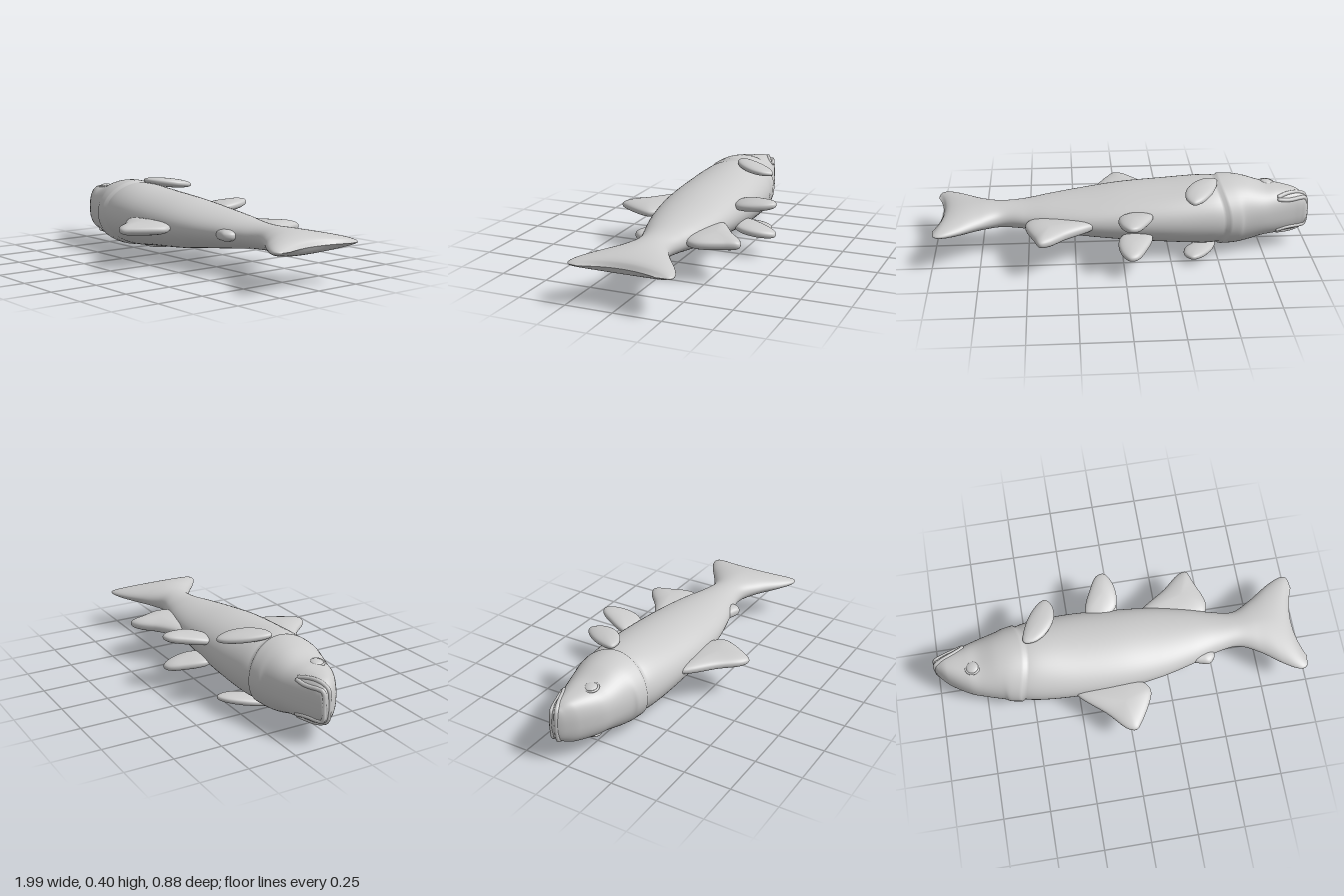
import * as THREE from 'three';
import { mergeVertices } from 'three/addons/utils/BufferGeometryUtils.js';

const MID = 0.205; // height of the fish's plane of symmetry (it lies on its side)
const material = new THREE.MeshStandardMaterial({ color: 0xcccccc });

// Body ribs: x, back edge z, belly edge z, half thickness, bow of the rib along x, roundness
const RIBS = [
  [-1.0, -0.078, -0.08, 0.0, 0, 2.4],
  [-0.99, -0.05, -0.105, 0.066, 0, 2.4],
  [-0.96, -0.012, -0.118, 0.098, 0, 2.4],
  [-0.92, 0.025, -0.13, 0.118, 0, 2.4],
  [-0.82, 0.088, -0.165, 0.134, 0, 2.4],
  [-0.75, 0.115, -0.188, 0.142, 0, 2.3],
  [-0.65, 0.147, -0.215, 0.174, 0, 2.1],
  [-0.56, 0.167, -0.232, 0.186, -0.05, 2],
  [-0.45, 0.185, -0.25, 0.18, -0.04, 2],
  [-0.25, 0.2, -0.26, 0.158, 0, 2],
  [0.0, 0.195, -0.246, 0.136, 0, 2],
  [0.2, 0.168, -0.226, 0.11, 0, 2],
  [0.38, 0.123, -0.19, 0.088, 0, 2],
  [0.52, 0.08, -0.15, 0.07, 0, 2],
  [0.64, 0.067, -0.13, 0.064, 0, 2],
  [0.74, 0.122, -0.185, 0.064, 0.01, 1.8],
  [0.83, 0.205, -0.257, 0.058, 0.03, 1.8],
  [0.895, 0.248, -0.292, 0.045, 0.045, 1.9],
  [0.93, 0.235, -0.28, 0.027, 0.05, 2],
  [0.947, 0.18, -0.22, 0.0, 0.042, 2],
];

// Smooth interpolation between the ribs
function ribAt(x) {
  let i = 0;
  while (i < RIBS.length - 2 && x > RIBS[i + 1][0]) i++;
  const a = RIBS[i], b = RIBS[i + 1], p = RIBS[i - 1] ?? a, q = RIBS[i + 2] ?? b;
  const d = b[0] - a[0], t = (x - a[0]) / d;
  const [back, belly, thick, bow, n] = [1, 2, 3, 4, 5].map((k) => {
    const m0 = ((b[k] - p[k]) / (b[0] - p[0])) * d;
    const m1 = ((q[k] - a[k]) / (q[0] - a[0])) * d;
    return (2 * t ** 3 - 3 * t * t + 1) * a[k] + (t ** 3 - 2 * t * t + t) * m0
      + (3 * t * t - 2 * t ** 3) * b[k] + (t ** 3 - t * t) * m1;
  });
  // the body steps in just behind the gill covers
  const step = x > -0.505 ? 1 - 0.065 * Math.exp(-(x + 0.505) / 0.05) : 1;
  return {
    zc: (back + belly) / 2, h: ((back - belly) / 2) * step,
    thick: Math.max(thick, 0) * step, bow, n,
  };
}

// Half thickness of the body at a point of its side
function sideAt(x, z) {
  const r = ribAt(x), v = Math.min(Math.abs((z - r.zc) / r.h), 1);
  return r.thick * (1 - v ** r.n) ** (1 / r.n);
}

function bodyGeometry(rows = 200, cols = 56) {
  const pos = [], index = [];
  const power = (v, e) => Math.sign(v) * Math.abs(v) ** e;
  for (let i = 0; i <= rows; i++) {
    const x = -1 + 1.947 * (1 - Math.cos((Math.PI * i) / rows)) / 2;
    const r = ribAt(x);
    for (let j = 0; j < cols; j++) {
      const a = (j / cols) * Math.PI * 2, v = power(Math.cos(a), 2 / r.n);
      pos.push(x + r.bow * v * v, MID + r.thick * power(Math.sin(a), 2 / r.n), r.zc + r.h * v);
      if (i === rows) continue;
      const p = i * cols + j, q = i * cols + ((j + 1) % cols);
      index.push(p, p + cols, q, q, p + cols, q + cols);
    }
  }
  const g = new THREE.BufferGeometry();
  g.setAttribute('position', new THREE.Float32BufferAttribute(pos, 3));
  g.setIndex(index);
  g.computeVertexNormals();
  return g;
}

// Rounded pad with an (x, z) outline; centre(z) gives its height from the symmetry plane
function finGeometry(outline, thick, centre = () => 0) {
  const pts = outline.map(([x, z]) => new THREE.Vector2(x, z));
  if (THREE.ShapeUtils.area(pts) < 0) pts.reverse();
  const curve = new THREE.CatmullRomCurve3(pts.map((p) => new THREE.Vector3(p.x, 0, p.y)), true);
  const mid = pts.reduce((s, p) => s.add(p), new THREE.Vector2()).divideScalar(pts.length);
  let g = new THREE.SphereGeometry(1, 56, 24);
  g.deleteAttribute('uv');
  g.deleteAttribute('normal');
  g = mergeVertices(g, 1e-5);
  const P = g.attributes.position;
  for (let i = 0; i < P.count; i++) {
    const x = P.getX(i), y = P.getY(i), z = P.getZ(i), r = Math.hypot(x, z);
    const u = (Math.atan2(z, x) / (2 * Math.PI) + 1) % 1;
    const edge = curve.getPoint(u);
    const fx = mid.x + (edge.x - mid.x) * r, fz = mid.y + (edge.z - mid.y) * r;
    P.setXYZ(i, fx, MID + centre(fz) + thick * Math.sign(y) * Math.abs(y) ** 0.8, fz);
  }
  g.computeVertexNormals();
  return g;
}

export function createModel() {
  const fish = new THREE.Group();
  fish.name = 'fish';
  const add = (name, geometry) => {
    const mesh = new THREE.Mesh(geometry, material);
    mesh.name = name;
    fish.add(mesh);
    return mesh;
  };

  add('bodyAndTail', bodyGeometry());

  // Fins on the symmetry plane
  add('dorsalFin', finGeometry([[-0.27, 0.18], [-0.12, 0.33], [-0.03, 0.425], [0.015, 0.438],
    [0.05, 0.4], [0.125, 0.255], [0.12, 0.215], [0.04, 0.15], [-0.12, 0.14]], 0.036));
  add('analFin', finGeometry([[0.14, -0.2], [0.3, -0.325], [0.39, -0.4], [0.435, -0.41],
    [0.465, -0.34], [0.51, -0.2], [0.48, -0.14], [0.33, -0.12]], 0.04));
  add('adiposeFin', finGeometry([[0.36, 0.1], [0.42, 0.13], [0.465, 0.138], [0.497, 0.105],
    [0.49, 0.06], [0.42, 0.04]], 0.03));

  for (const [side, s] of [['left', -1], ['right', 1]]) {
    // Paired fins
    add(side + 'PectoralFin', finGeometry([[-0.5, -0.075], [-0.475, -0.18], [-0.4, -0.285],
      [-0.355, -0.305], [-0.323, -0.26], [-0.328, -0.18], [-0.385, -0.1], [-0.45, -0.066]],
      0.026, (z) => s * (0.193 + 0.12 * z)));
    add(side + 'PelvicFin', finGeometry([[-0.15, -0.23], [-0.105, -0.365], [-0.06, -0.43],
      [-0.02, -0.437], [0.015, -0.39], [0.03, -0.3], [0.01, -0.235], [-0.07, -0.19]],
      0.031, (z) => s * (0.03 - 0.12 * z)));

    // Eye: flattened ball in a low rim
    const y = MID + s * (sideAt(-0.785, 0) - 0.004);
    const eye = add(side + 'Eye', new THREE.SphereGeometry(0.034, 24, 16));
    eye.scale.y = 0.4;
    eye.position.set(-0.785, y, 0);
    const rim = add(side + 'EyeRim', new THREE.TorusGeometry(0.036, 0.006, 8, 32).rotateX(Math.PI / 2));
    rim.position.set(-0.785, y, 0);
    for (const m of [eye, rim]) m.rotation.z = s * 0.12;
  }

  // Lips wrap round the snout from one mouth corner to the other
  for (const [name, shift] of [['upperLip', 0.014], ['lowerLip', -0.014]]) {
    const half = [-0.83, -0.87, -0.91, -0.95, -0.98].map((x) => {
      const z = -0.075 - 0.36 * (x + 0.99) + shift * Math.min(1, (-0.8 - x) * 12);
      return [x, sideAt(x, z) - 0.003, z];
    });
    const path = [
      ...half.map(([x, y, z]) => new THREE.Vector3(x, MID + y, z)),
      new THREE.Vector3(-0.988, MID, -0.078 + shift),
      ...half.reverse().map(([x, y, z]) => new THREE.Vector3(x, MID - y, z)),
    ];
    add(name, new THREE.TubeGeometry(new THREE.CatmullRomCurve3(path), 60, 0.011, 10));
    for (const [i, end] of [path[0], path[path.length - 1]].entries()) {
      add(name + (i ? 'LeftEnd' : 'RightEnd'), new THREE.SphereGeometry(0.011, 12, 8)).position.copy(end);
    }
  }
  return fish;
}
